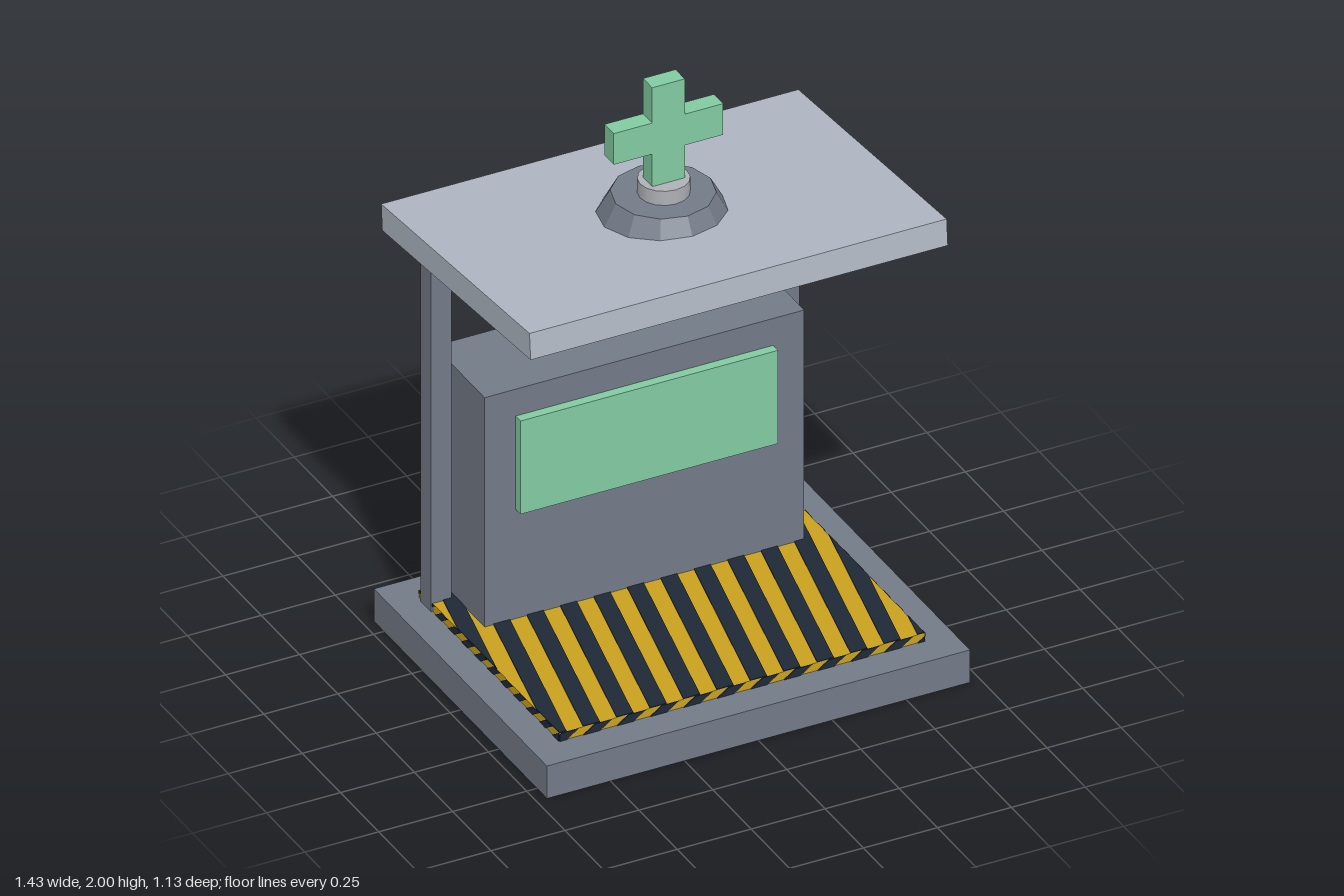
import * as THREE from 'three';

const mat = (name, color) => {
  const m = new THREE.MeshStandardMaterial({ color });
  m.name = name;
  return m;
};

// Keep the part of a convex polygon with |x| <= limit
function clipX(points, limit) {
  for (const s of [1, -1]) {
    const out = [];
    points.forEach((a, i) => {
      const b = points[(i + 1) % points.length];
      const da = limit - s * a.x, db = limit - s * b.x;
      if (da >= 0) out.push(a);
      if (da * db < 0) out.push(a.clone().lerp(b, da / (da - db)));
    });
    points = out;
  }
  return points;
}

export function createModel() {
  const group = new THREE.Group();
  const steel = mat('slate grey', 0x737b87);
  const pale = mat('pale grey', 0xb0b8c3);
  const silver = mat('silver', 0xaeb1b6);
  const green = mat('mint green', 0x82cba2);
  const yellow = mat('warning yellow', 0xcaa21e);
  const dark = mat('dark navy', 0x1f2937);

  const add = (name, geometry, material, x = 0, y = 0, z = 0, parent = group) => {
    const mesh = new THREE.Mesh(geometry, material);
    mesh.name = name;
    mesh.position.set(x, y, z);
    parent.add(mesh);
    return mesh;
  };
  const box = (name, material, x0, x1, y0, y1, z0, z1) =>
    add(name, new THREE.BoxGeometry(x1 - x0, y1 - y0, z1 - z0), material,
      (x0 + x1) / 2, (y0 + y1) / 2, (z0 + z1) / 2);

  // Platform, cabinet and screen
  box('base', steel, -0.715, 0.715, 0, 0.115, -0.565, 0.565);
  box('cabinet', steel, -0.54, 0.54, 0.115, 0.955, -0.51, -0.18);
  box('screen', green, -0.435, 0.435, 0.53, 0.86, -0.18, -0.148);

  // Roof posts
  for (const s of [-1, 1]) {
    add('post', new THREE.BoxGeometry(0.07, 1.3, 0.07), steel, s * 0.588, 0.765, -0.405);
  }

  // Roof slab, raised at the front
  const roof = add('roof', new THREE.BoxGeometry(1.41, 0.09, 0.972), pale, 0, 1.485, -0.049);
  roof.rotation.x = -0.082;

  // Sign mount
  const cone = new THREE.CylinderGeometry(0.16, 0.21, 0.09, 12).toNonIndexed();
  cone.computeVertexNormals();
  add('signMount', cone, steel, 0, 1.555, -0.057);
  add('signCollar', new THREE.CylinderGeometry(0.08, 0.08, 0.055, 16), silver, 0, 1.6225, -0.054);

  // Cross sign
  const a = 0.055, b = 0.185, lo = -0.17, hi = 0.18;
  const cross = new THREE.Shape([
    [-a, lo], [a, lo], [a, -a], [b, -a], [b, a], [a, a],
    [a, hi], [-a, hi], [-a, a], [-b, a], [-b, -a], [-a, -a],
  ].map(([x, y]) => new THREE.Vector2(x, y)));
  add('crossSign', new THREE.ExtrudeGeometry(cross, { depth: 0.06, bevelEnabled: false }),
    green, 0, 1.82, -0.083);

  // Hazard mat
  const W = 0.617, D = 0.457, H = 0.028;
  box('hazardMat', yellow, -W, W, 0.115, 0.115 + H, -D, D);

  // A row of slanted dark stripes clipped to a rectangle, as thin plates
  function stripes(halfWidth, height, slant, start, period) {
    const panel = new THREE.Group();
    panel.name = 'matStripes';
    for (let x = start; x < halfWidth; x += period) {
      const p = clipX([
        new THREE.Vector2(x, 0), new THREE.Vector2(x + period / 2, 0),
        new THREE.Vector2(x + period / 2 + slant, height), new THREE.Vector2(x + slant, height),
      ], halfWidth);
      if (p.length < 3) continue;
      add('matStripe', new THREE.ExtrudeGeometry(new THREE.Shape(p),
        { depth: 0.003, bevelEnabled: false }), dark, 0, 0, 0, panel);
    }
    group.add(panel);
    return panel;
  }

  const top = stripes(W, 2 * D, 0.2, -0.537 - 0.113 * 3, 0.113);
  top.rotation.x = -Math.PI / 2;
  top.position.set(0, 0.115 + H, D);
  for (let i = 0; i < 4; i++) {
    const alongX = i % 2 === 0;
    const side = stripes(alongX ? W : D, H, 0.04, alongX ? -0.65 : -0.52, alongX ? 0.113 : 0.085);
    const angle = i * Math.PI / 2, out = alongX ? D : W;
    side.rotation.y = angle;
    side.position.set(Math.sin(angle) * out, 0.115, Math.cos(angle) * out);
  }

  return group;
}
